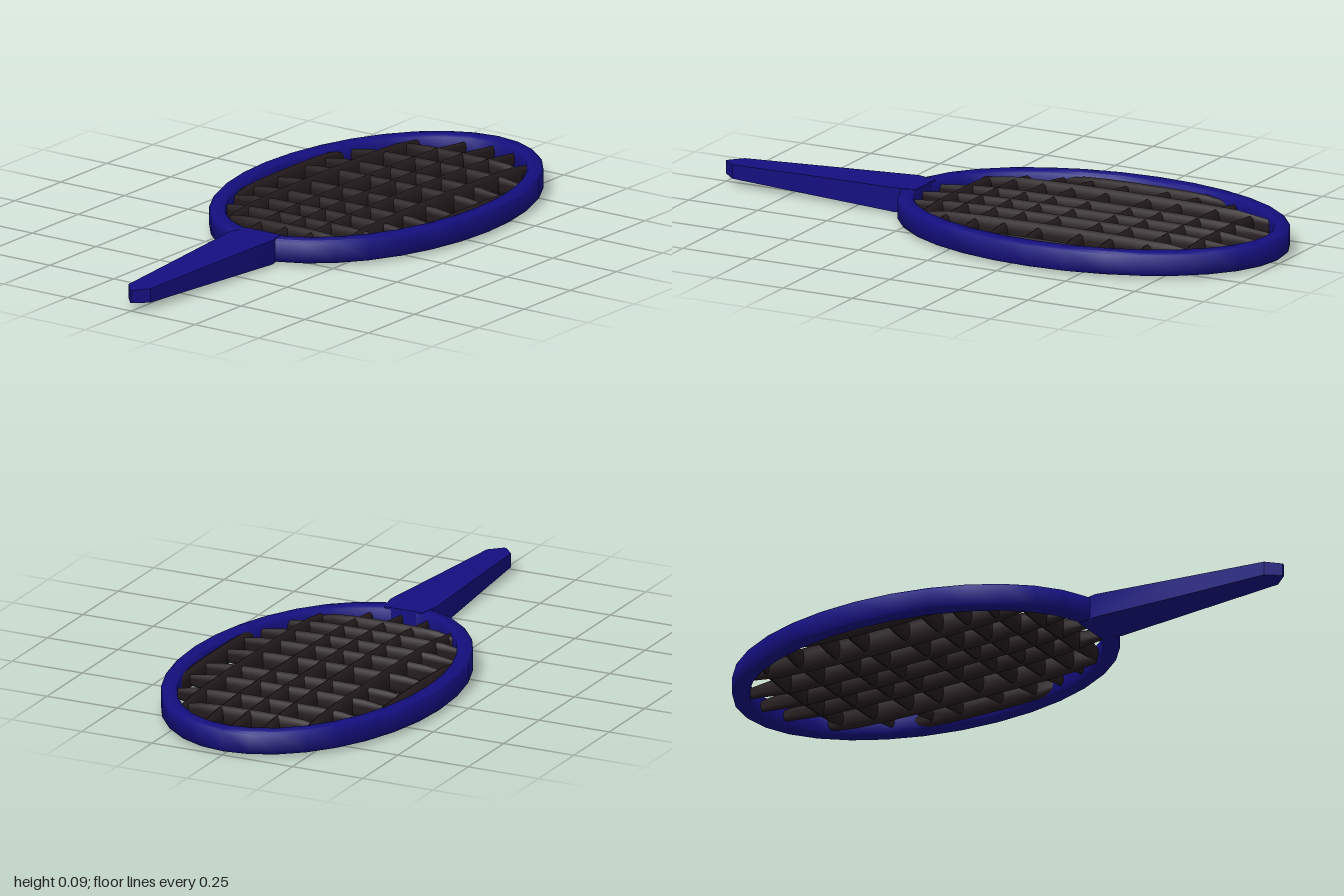
import * as THREE from 'three';
import { toCreasedNormals } from 'three/addons/utils/BufferGeometryUtils.js';

const MID_Y = 0.048;   // height of the racket's middle plane
const HEAD_Z = -0.33;  // centre of the oval head

const blue = new THREE.MeshStandardMaterial({ color: 0x140f80 });
const dark = new THREE.MeshStandardMaterial({ color: 0x231a1c });

function mesh(name, geometry, material) {
  const m = new THREE.Mesh(geometry, material);
  m.name = name;
  return m;
}

// Move every vertex of a geometry by a rule
function reshape(geometry, rule) {
  const p = geometry.attributes.position;
  const v = new THREE.Vector3();
  for (let i = 0; i < p.count; i++) {
    rule(v.fromBufferAttribute(p, i));
    p.setXYZ(i, v.x, v.y, v.z);
  }
  geometry.computeVertexNormals();
  return geometry;
}

// Oval hoop: a turned ring stretched along z, keeping its wall thickness even
function frame() {
  const outer = 0.443, inner = 0.39, h = 0.038, b = 0.007;
  const profile = [
    [outer, -h + b], [outer, h - b], [outer - b, h], [inner + b, h],
    [inner, h - b], [inner, -h + b], [inner + b, -h], [outer - b, -h], [outer, -h + b],
  ].map(([r, y]) => new THREE.Vector2(r, y));
  const geo = reshape(new THREE.LatheGeometry(profile, 32), (v) => {
    const r = Math.hypot(v.x, v.z);
    v.z *= (r + 0.227) / r;
  });
  const m = mesh('frame', toCreasedNormals(geo, 0.9), blue);
  m.position.set(0, MID_Y, HEAD_Z);
  return m;
}

// Handle: a box lofted through [z, half width, half height], ending in a wedge
function handle() {
  const sections = [
    [0.28, 0.068, 0.039], [0.35, 0.083, 0.04], [0.65, 0.062, 0.032],
    [0.955, 0.043, 0.023], [1.0, 0.004, 0.021],
  ];
  const n = sections.length - 1;
  const geo = reshape(new THREE.BoxGeometry(2, 2, 1, 1, 1, n), (v) => {
    const [z, w, h] = sections[Math.round((v.z + 0.5) * n)];
    v.set(v.x * w, v.y * h, z);
  });
  const m = mesh('handle', toCreasedNormals(geo, 0.5), blue);
  m.position.y = MID_Y;
  return m;
}

// String: a tall oval rod along z that thins towards both ends
function stringRod(name, length, halfHeight) {
  const geo = new THREE.CylinderGeometry(1, 1, 2, 10, 8).rotateX(Math.PI / 2);
  reshape(geo, (v) => {
    const t = v.z;
    const s = 1 - 0.14 * t * t - 0.4 * t ** 6;
    v.set(v.x * 0.02 * s, v.y * halfHeight * s, t * length / 2);
  });
  return mesh(name, toCreasedNormals(geo, 0.9), dark);
}

export function createModel() {
  const racket = new THREE.Group();
  racket.name = 'racket';
  racket.add(frame(), handle());

  const strings = new THREE.Group();
  strings.name = 'strings';

  // Main strings: x, start z, end z, half height
  const mains = [
    [-0.35, -0.63, -0.03, 0.036], [-0.215, -0.87, 0.21, 0.047], [-0.09, -0.93, 0.275, 0.042],
    [0.01, -0.955, 0.29, 0.042], [0.11, -0.93, 0.275, 0.042], [0.235, -0.87, 0.21, 0.047],
    [0.365, -0.61, -0.05, 0.036],
  ];
  for (const [x, z0, z1, h] of mains) {
    const rod = stringRod('mainString', z1 - z0, h);
    rod.position.set(x, MID_Y - 0.001, (z0 + z1) / 2);
    strings.add(rod);
  }

  // Cross strings: z, half length
  const crosses = [
    [-0.785, 0.25], [-0.66, 0.34], [-0.525, 0.36], [-0.415, 0.39], [-0.265, 0.38],
    [-0.14, 0.38], [-0.035, 0.36], [0.07, 0.33], [0.165, 0.245],
  ];
  for (const [z, half] of crosses) {
    const rod = stringRod('crossString', half * 2, 0.037);
    rod.rotation.y = Math.PI / 2;
    rod.position.set(0, MID_Y, z);
    strings.add(rod);
  }

  racket.add(strings);
  return racket;
}
